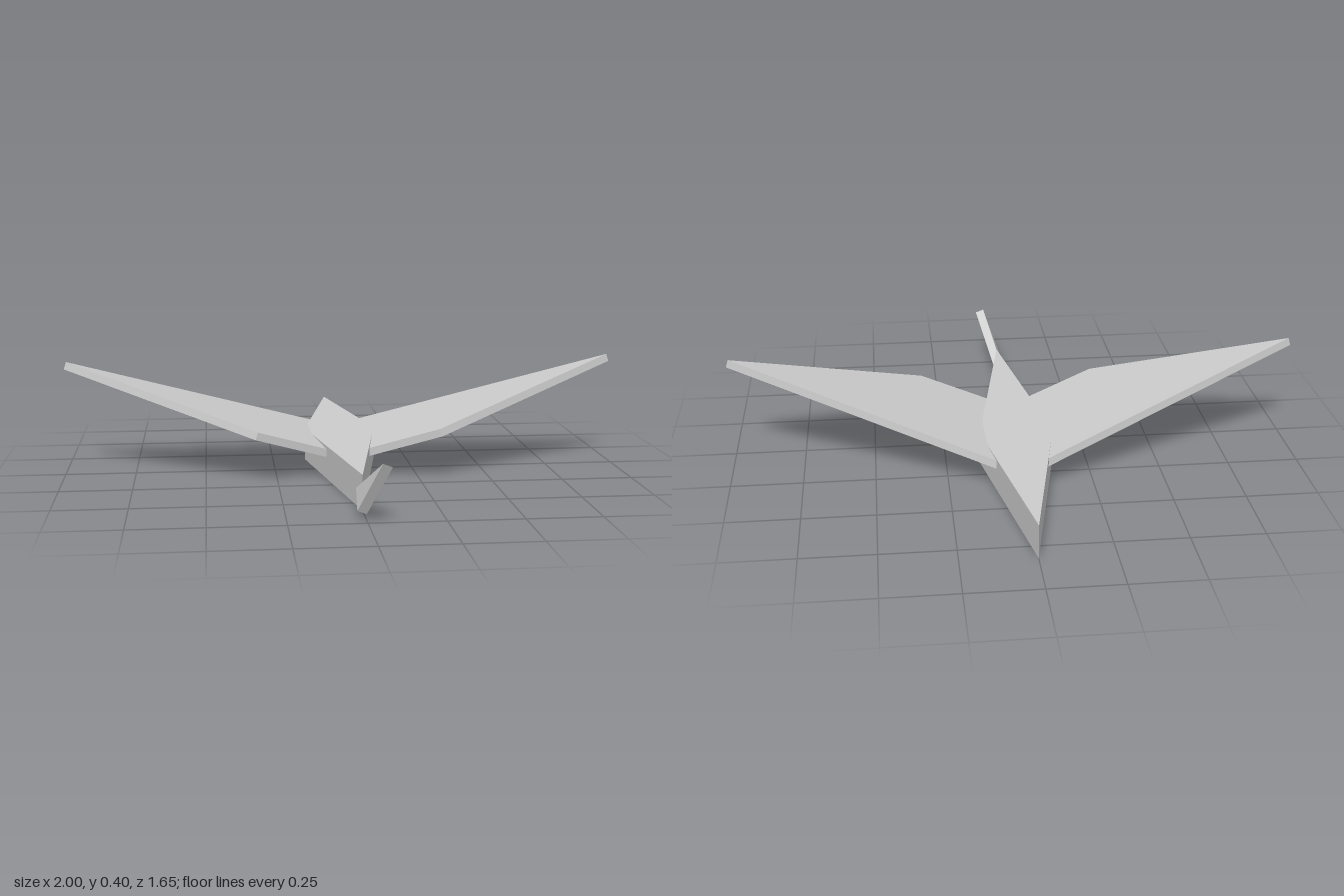
import * as THREE from 'three';

// Flat plate from a plan outline of [x, z] points, rising from y = 0
function plate(points, thickness) {
  const shape = new THREE.Shape(points.map(([x, z]) => new THREE.Vector2(x, -z)));
  const geo = new THREE.ExtrudeGeometry(shape, { depth: thickness, bevelEnabled: false });
  return geo.rotateX(-Math.PI / 2);
}

export function createModel() {
  const group = new THREE.Group();
  const grey = new THREE.MeshStandardMaterial({ color: 0xcccccc, flatShading: true });
  grey.name = 'light grey';

  const add = (name, geo) => {
    const mesh = new THREE.Mesh(geo, grey);
    mesh.name = name;
    group.add(mesh);
    return mesh;
  };

  // Body: upright kite-shaped prism
  add('body', plate([[0, 0.6], [0.13, -0.16], [0, -0.825], [-0.13, -0.16]], 0.118));

  // Wings: thin slabs raised in a V, roots buried in the body
  const dihedral = Math.atan(0.317);
  const outline = [[0, 0.13], [0.327, 0.216], [1, -0.07], [0, -0.397]];
  for (const side of [1, -1]) {
    const pts = outline.map(([x, z]) => [side * x / Math.cos(dihedral), z]);
    const wing = add(side > 0 ? 'leftWing' : 'rightWing', plate(pts, 0.028));
    wing.rotation.z = side * dihedral;
    wing.position.y = 0.053;
  }

  // Fin: leaning triangular slab at the front end
  const fin = new THREE.Shape([[-0.56, 0], [-0.828, 0.15], [-0.715, -0.037]]
    .map(([x, y]) => new THREE.Vector2(x, y)));
  const finGeo = new THREE.ExtrudeGeometry(fin, { depth: 0.032, bevelEnabled: false });
  finGeo.translate(0, 0, -0.016).rotateY(Math.PI / 2);
  const finMesh = add('fin', finGeo);
  finMesh.rotation.z = -0.355;
  finMesh.position.set(-0.002, 0.06, 0);

  return group;
}
